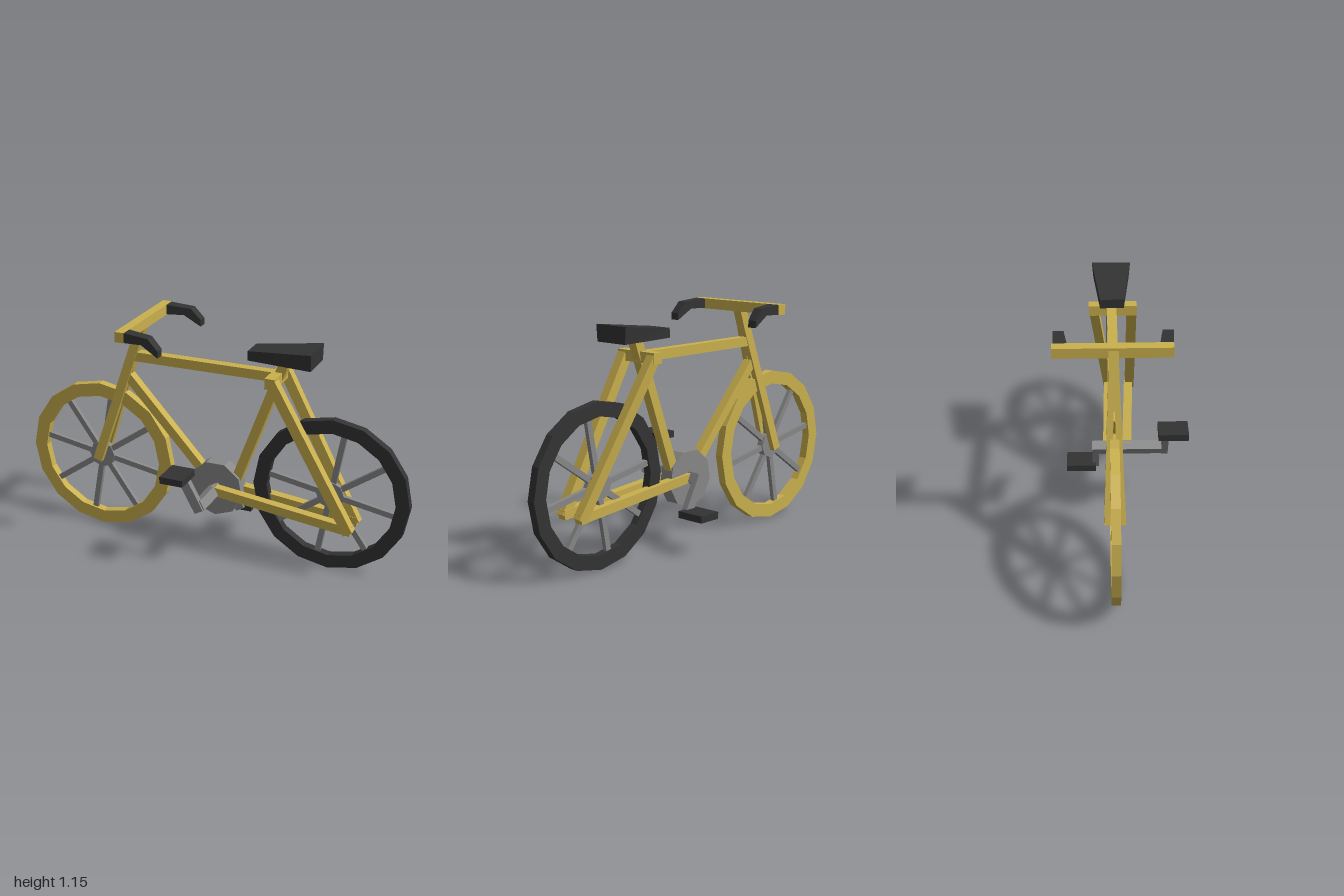
import * as THREE from 'three';

const mat = (name, color) => {
  const m = new THREE.MeshStandardMaterial({ color, flatShading: true });
  m.name = name;
  return m;
};

export function createModel() {
  const yellow = mat('yellow paint', 0xcab04e);
  const grey = mat('grey metal', 0x888888);
  const black = mat('black rubber', 0x333333);
  const bike = new THREE.Group();
  bike.name = 'bicycle';
  const ZC = -0.043; // centre plane of the frame
  const V = (x, y, z = ZC) => new THREE.Vector3(x, y, z);

  const add = (name, geo, material, pos, parent = bike) => {
    const m = new THREE.Mesh(geo, material);
    m.name = name;
    if (pos) m.position.copy(pos);
    parent.add(m);
    return m;
  };
  const box = (name, material, x0, x1, y0, y1, z0, z1) =>
    add(name, new THREE.BoxGeometry(x1 - x0, y1 - y0, z1 - z0), material,
      V((x0 + x1) / 2, (y0 + y1) / 2, (z0 + z1) / 2));
  // square bar from a to b: w across in the side plane, d in depth
  const bar = (name, material, a, b, w = 0.047, d = 0.047, parent = bike) => {
    const dir = b.clone().sub(a), len = dir.length();
    dir.normalize();
    const x = dir.clone().cross(V(0, 0, 1)).normalize();
    const z = x.clone().cross(dir);
    const m = add(name, new THREE.BoxGeometry(w, len, d), material, a.clone().add(b).multiplyScalar(0.5), parent);
    m.quaternion.setFromRotationMatrix(new THREE.Matrix4().makeBasis(x, dir, z));
    return m;
  };

  // wheels: faceted ring, eight spokes and a hub
  const polygon = (r, n) => Array.from({ length: n }, (_, i) => {
    const a = Math.PI / 2 + i * 2 * Math.PI / n;
    return new THREE.Vector2(r * Math.cos(a), r * Math.sin(a));
  });
  const wheel = (name, x, tyre) => {
    const g = new THREE.Group();
    g.name = name;
    g.position.set(x, 0.39, ZC);
    const ring = new THREE.Shape(polygon(0.39, 16));
    ring.holes.push(new THREE.Path(polygon(0.322, 16)));
    const geo = new THREE.ExtrudeGeometry(ring, { depth: 0.042, bevelEnabled: false });
    geo.translate(0, 0, -0.021);
    add('tyre', geo, tyre, null, g);
    for (let i = 0; i < 8; i++) {
      const a = (-10 + i * 45) * Math.PI / 180, c = Math.cos(a), s = Math.sin(a);
      bar('spoke', grey, V(0.04 * c, 0.04 * s, 0), V(0.33 * c, 0.33 * s, 0), 0.028, 0.022, g);
    }
    add('hub', new THREE.CylinderGeometry(0.07, 0.07, 0.034, 8).rotateX(Math.PI / 2), grey, null, g);
    bike.add(g);
  };
  wheel('frontWheel', -0.61, yellow);
  wheel('rearWheel', 0.61, black);

  // fork and steering column
  for (const s of [1, -1])
    bar('forkBlade', yellow, V(-0.622, 0.37, ZC + s * 0.036), V(-0.4, 1.03, ZC + s * 0.01), 0.047, 0.028);
  bar('steeringColumn', yellow, V(-0.45, 0.88), V(-0.362, 1.145));

  // main frame
  bar('topTube', yellow, V(-0.42, 0.95), V(0.34, 0.95));
  bar('downTube', yellow, V(-0.45, 0.84), V(0.0, 0.345), 0.045);
  bar('seatTube', yellow, V(0.368, 1.04), V(0.11, 0.335));
  box('stayBridge', yellow, 0.305, 0.355, 0.925, 0.977, -0.155, 0.08);
  bar('leftSeatStay', yellow, V(0.33, 0.96, 0.055), V(0.735, 0.255, 0.055), 0.05, 0.048);
  bar('rightSeatStay', yellow, V(0.33, 0.96, -0.131), V(0.735, 0.255, -0.06), 0.05, 0.045);
  bar('leftChainStay', yellow, V(0.025, 0.335, 0.025), V(0.745, 0.265, 0.05), 0.045, 0.045);
  bar('rightChainStay', yellow, V(0.025, 0.335, -0.07), V(0.745, 0.265, -0.06), 0.045, 0.045);

  // saddle: a box narrowed and lowered towards the front
  const saddle = new THREE.BoxGeometry(0.32, 0.08, 0.19);
  const p = saddle.attributes.position;
  for (let i = 0; i < p.count; i++) {
    if (p.getX(i) < 0) {
      p.setZ(i, p.getZ(i) * 0.6);
      if (p.getY(i) > 0) p.setY(i, 0.006);
    } else if (p.getY(i) < 0) p.setZ(i, p.getZ(i) * 0.93);
  }
  saddle.computeVertexNormals();
  add('saddle', saddle, black, V(0.355, 1.068));

  // handlebar with bent grips that lean outward
  box('handlebar', yellow, -0.388, -0.34, 1.105, 1.155, -0.315, 0.222);
  const outline = [[-0.34, 1.107], [-0.25, 1.11], [-0.165, 1.058], [-0.165, 1.092], [-0.215, 1.145], [-0.34, 1.155]];
  for (const s of [1, -1]) {
    const geo = new THREE.ExtrudeGeometry(
      new THREE.Shape(outline.map(([x, y]) => new THREE.Vector2(x, y))), { depth: 0.055, bevelEnabled: false });
    const q = geo.attributes.position;
    for (let i = 0; i < q.count; i++) {
      const t = (q.getX(i) + 0.34) / 0.175;
      const k = q.getZ(i) / 0.055;
      const inner = 0.205 + 0.022 * t, outer = 0.265 + 0.008 * t;
      // the inner and outer faces swap on the other side
      q.setZ(i, ZC + s * (s > 0 ? inner + (outer - inner) * k : outer + (inner - outer) * k));
    }
    geo.computeVertexNormals();
    add(s > 0 ? 'leftGrip' : 'rightGrip', geo, black);
  }

  // cranks, chainring and pedals
  add('chainring', new THREE.CylinderGeometry(0.143, 0.143, 0.07, 9).rotateX(Math.PI / 2), grey, V(0.025, 0.325, -0.04));
  const axle = add('crankAxle', new THREE.BoxGeometry(0.05, 0.05, 0.36), grey, V(0.03, 0.328, 0.04));
  axle.rotation.z = 0.5;
  bar('leftCrank', grey, V(0.038, 0.305, 0.213), V(-0.055, 0.475, 0.213), 0.048, 0.032);
  bar('rightCrank', grey, V(0.022, 0.345, -0.131), V(0.115, 0.175, -0.131), 0.048, 0.032);
  box('leftPedal', black, -0.123, -0.005, 0.47, 0.504, 0.175, 0.322);
  box('rightPedal', black, 0.05, 0.168, 0.166, 0.2, -0.277, -0.13);

  return bike;
}
